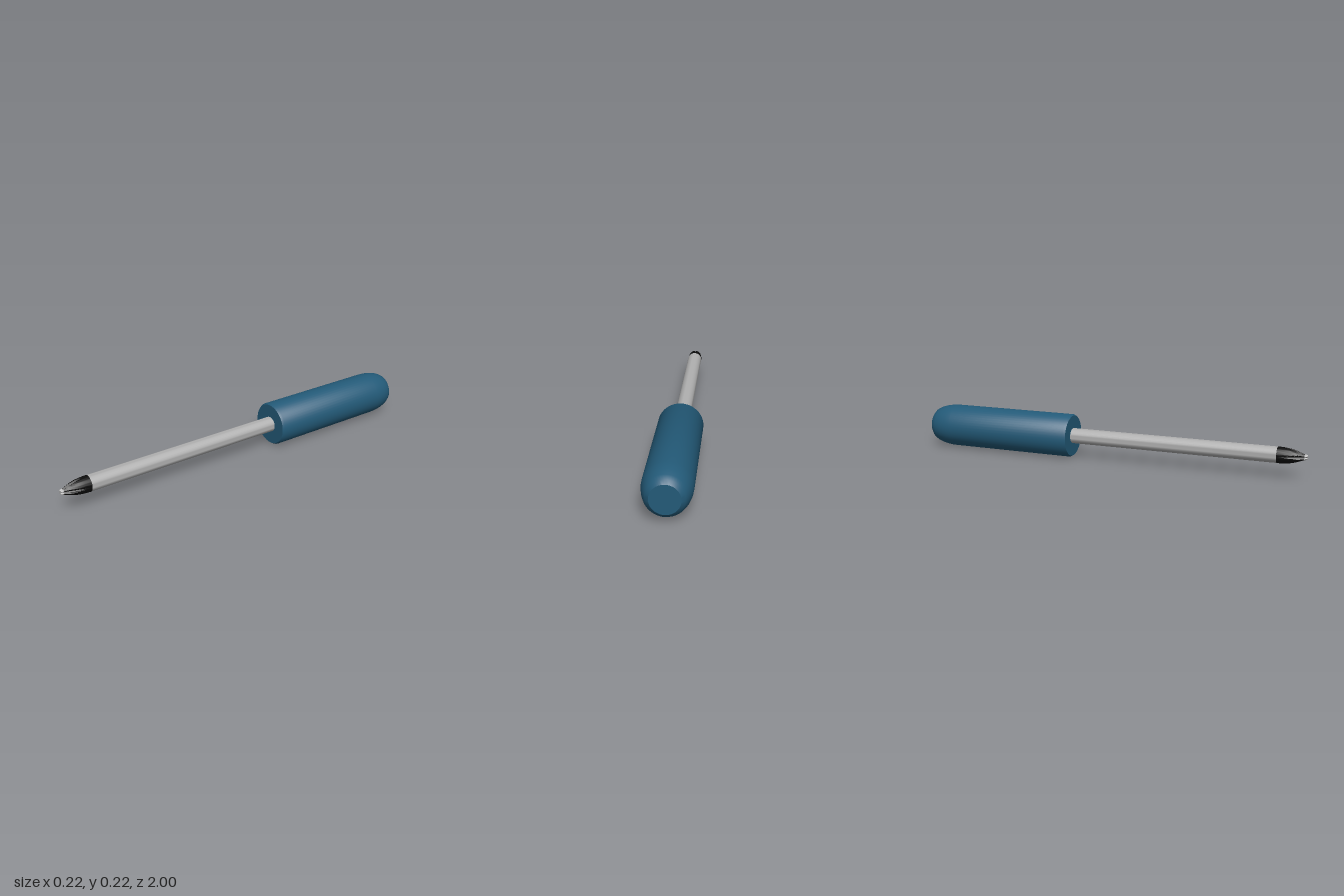
import * as THREE from 'three';
import { toCreasedNormals } from 'three/addons/utils/BufferGeometryUtils.js';

const AXIS_Y = 0.11;

// Turned part along z from [radius, z] pairs listed back to front
function turned(profile, segments) {
  const g = new THREE.LatheGeometry(profile.map(([r, z]) => new THREE.Vector2(r, z)), segments);
  g.rotateX(Math.PI / 2);
  return toCreasedNormals(g, 0.6);
}

// Fluted loft along z: each ring is [z, outer radius, half width of the cross arms]
function fluted(rings, capFront) {
  const n = 72, pos = [], index = [];
  for (const [z, radius, w] of rings) {
    for (let j = 0; j < n; j++) {
      const a = (j / n) * Math.PI * 2, d = a - Math.PI / 4;
      const limit = w / Math.max(1e-4, Math.min(Math.abs(Math.cos(d)), Math.abs(Math.sin(d))));
      const r = Math.min(radius, limit);
      pos.push(r * Math.cos(a), r * Math.sin(a), z);
    }
  }
  for (let i = 0; i < rings.length - 1; i++) {
    for (let j = 0; j < n; j++) {
      const k = (j + 1) % n, a = i * n + j, b = i * n + k;
      index.push(a, b, b + n, a, b + n, a + n);
    }
  }
  if (capFront) {
    const base = (rings.length - 1) * n, centre = pos.length / 3;
    pos.push(0, 0, rings[rings.length - 1][0]);
    for (let j = 0; j < n; j++) index.push(centre, base + j, base + ((j + 1) % n));
  }
  const g = new THREE.BufferGeometry();
  g.setAttribute('position', new THREE.Float32BufferAttribute(pos, 3));
  g.setIndex(index);
  return toCreasedNormals(g, 0.6);
}

export function createModel() {
  const blue = new THREE.MeshStandardMaterial({ color: 0x235a78 });
  blue.name = 'handle blue';
  const steel = new THREE.MeshStandardMaterial({ color: 0xb0b0b0 });
  steel.name = 'steel grey';
  const black = new THREE.MeshStandardMaterial({ color: 0x0b0b0b });
  black.name = 'tip black';

  const model = new THREE.Group();
  model.name = 'screwdriver';
  const add = (name, geometry, material) => {
    const mesh = new THREE.Mesh(geometry, material);
    mesh.name = name;
    mesh.position.y = AXIS_Y;
    model.add(mesh);
  };

  // Grip with a rounded butt and a small front bevel
  add('handle', turned([
    [0, -1], [0.067, -1], [0.083, -0.986], [0.095, -0.963], [0.104, -0.93],
    [0.109, -0.895], [0.11, -0.87], [0.11, -0.2], [0.104, -0.19], [0, -0.19],
  ], 48), blue);

  // Round steel rod
  add('shaft', turned([[0.039, -0.2], [0.039, 0.862]], 32), steel);

  // Blackened cross-head tip, its flutes deepening toward the point
  add('tip', fluted([
    [0.86, 0.0395, 0.03], [0.89, 0.0385, 0.026], [0.92, 0.035, 0.02],
    [0.945, 0.029, 0.014], [0.965, 0.022, 0.0085], [0.986, 0.015, 0.005],
  ], false), black);

  // Bare metal cross at the very end
  add('tipCross', fluted([[0.986, 0.015, 0.005], [1, 0.012, 0.004]], true), steel);

  return model;
}
